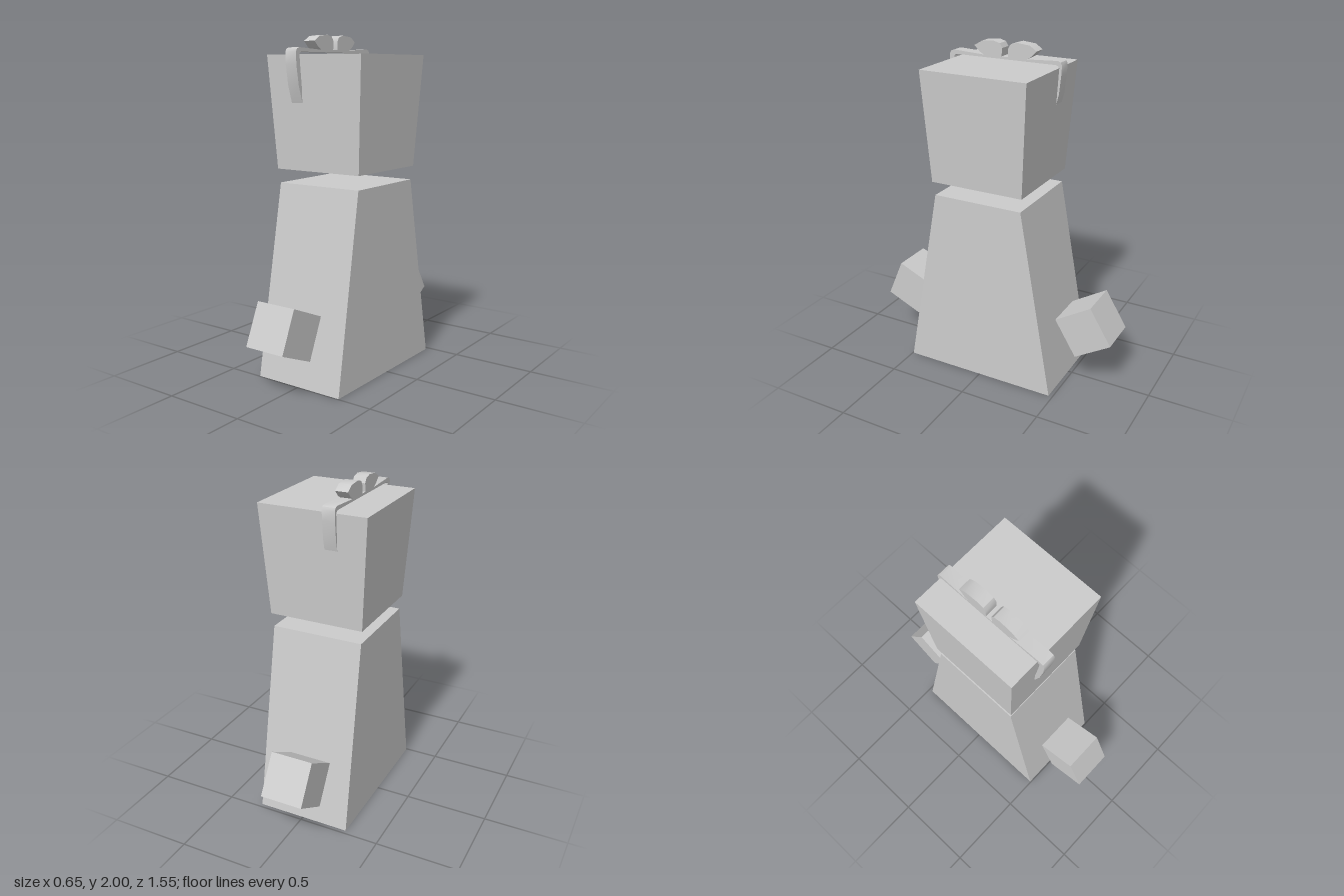
import * as THREE from 'three';
import { toCreasedNormals } from 'three/addons/utils/BufferGeometryUtils.js';

const material = new THREE.MeshStandardMaterial({ color: 0xcccccc });
const ribbonMaterial = new THREE.MeshStandardMaterial({ color: 0xcccccc, side: THREE.DoubleSide });

function addPart(group, name, geometry, mat = material) {
  const mesh = new THREE.Mesh(geometry, mat);
  mesh.name = name;
  group.add(mesh);
  return mesh;
}

// Box whose bottom and top rectangles differ; each rectangle is [y, x0, x1, z0, z1]
function taperedBox(bottom, top) {
  const geometry = new THREE.BoxGeometry(1, 1, 1);
  const p = geometry.attributes.position;
  for (let i = 0; i < p.count; i++) {
    const [y, x0, x1, z0, z1] = p.getY(i) > 0 ? top : bottom;
    p.setXYZ(i, p.getX(i) > 0 ? x1 : x0, y, p.getZ(i) > 0 ? z1 : z0);
  }
  geometry.computeVertexNormals();
  return geometry;
}

// Side outline in (z, y), extruded across x
function ribbonPiece(outline) {
  const shape = new THREE.Shape(outline.map(([z, y]) => new THREE.Vector2(z, y)));
  const geometry = new THREE.ExtrudeGeometry(shape, { depth: 0.076, bevelEnabled: false });
  geometry.rotateY(-Math.PI / 2).translate(-0.076, 0, 0);
  return toCreasedNormals(geometry, 0.6);
}

export function createModel() {
  const model = new THREE.Group();
  model.name = 'blockFigure';

  // Body and floating head
  addPart(model, 'body', taperedBox([0, -0.29, 0.288, -0.475, 0.495], [1.143, -0.28, 0.277, -0.268, 0.29]));
  addPart(model, 'head', taperedBox([1.226, -0.29, 0.287, -0.28, 0.302], [1.886, -0.33, 0.325, -0.32, 0.338]));

  // Floating cube hands: name, x, y, z, tilt
  for (const [name, x, y, z, tilt] of [
    ['frontHand', -0.003, 0.366, 0.609, -0.41],
    ['backHand', -0.03, 0.367, -0.598, -1.02],
  ]) {
    const hand = addPart(model, name, new THREE.BoxGeometry(0.258, 0.258, 0.258));
    hand.position.set(x, y, z);
    hand.rotation.x = tilt;
  }

  // Ribbon lying over the head with a tail hanging at each end
  const ribbon = new THREE.Group();
  ribbon.name = 'ribbon';
  model.add(ribbon);
  addPart(ribbon, 'ribbonBand', ribbonPiece([
    [0.335, 1.615], [0.366, 1.715], [0.385, 1.83], [0.387, 1.9], [0.378, 1.917], [0.355, 1.924],
    [0.16, 1.914], [-0.12, 1.914], [-0.31, 1.924], [-0.328, 1.917], [-0.336, 1.9], [-0.333, 1.84],
    [-0.322, 1.735], [-0.302, 1.655], [-0.308, 1.77], [-0.316, 1.893], [-0.3, 1.9],
    [0.34, 1.9], [0.357, 1.89], [0.352, 1.83], [0.338, 1.7],
  ]), ribbonMaterial);

  // Bow loops
  addPart(ribbon, 'frontBowLoop', ribbonPiece([
    [0.22, 1.963], [0.17, 1.992], [0.095, 2], [0.053, 1.988], [0.037, 1.962], [0.042, 1.912], [0.155, 1.912], [0.185, 1.93],
  ]), ribbonMaterial);
  addPart(ribbon, 'backBowLoop', ribbonPiece([
    [-0.18, 1.963], [-0.138, 1.992], [-0.058, 2], [-0.016, 1.988], [0, 1.962], [0, 1.912], [-0.117, 1.912], [-0.148, 1.93],
  ]), ribbonMaterial);

  return model;
}
